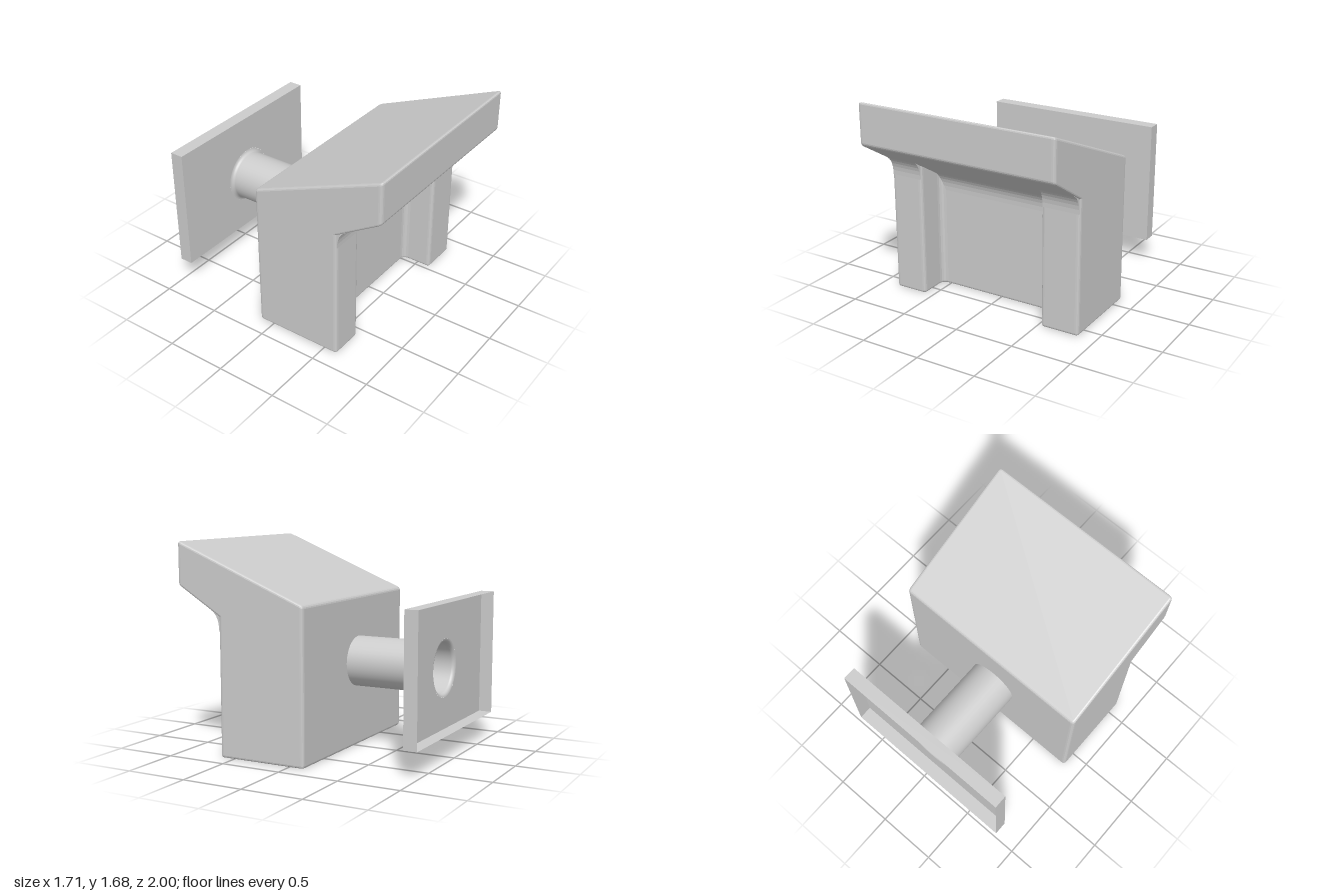
import * as THREE from 'three';

const BEVEL = 0.02;
// Heights of the sloped roof and of the sloped underside at depth z
const roofY = z => 1.69 + (z - 1) * 0.406;
const underY = z => 1.345 + (z - 1) * 0.605;

// Plan outline from [x, z, cornerRadius] points, with rounded corners
function roundedPlan(corners) {
  const pts = corners.map(([x, z]) => new THREE.Vector2(x, -z));
  const n = pts.length;
  const shape = new THREE.Shape();
  pts.forEach((p, i) => {
    const r = corners[i][2];
    const toward = q => q.clone().sub(p).setLength(r).add(p);
    const a = toward(pts[(i + n - 1) % n]);
    const b = toward(pts[(i + 1) % n]);
    if (i === 0) shape.moveTo(a.x, a.y);
    else shape.lineTo(a.x, a.y);
    shape.quadraticCurveTo(p.x, p.y, b.x, b.y);
  });
  shape.closePath();
  return shape;
}

// Bevelled upright block whose bottom and top follow height functions of z
function slopedBlock(shape, bottom, top) {
  const g = new THREE.ExtrudeGeometry(shape, {
    depth: 1 - 2 * BEVEL, bevelThickness: BEVEL, bevelSize: BEVEL,
    bevelOffset: -BEVEL, bevelSegments: 3, curveSegments: 4,
  });
  g.rotateX(-Math.PI / 2).translate(0, BEVEL, 0);
  const p = g.attributes.position;
  for (let i = 0; i < p.count; i++) {
    const y = p.getY(i), z = p.getZ(i);
    p.setY(i, y < 0.5 ? bottom(z) + y : top(z) - (1 - y));
  }
  g.computeVertexNormals();
  return g;
}

// Concave fillet between an upright wall at z0 and the sloped underside
function underFillet(x0, x1, z0) {
  const s = new THREE.Shape();
  s.moveTo(z0 - 0.01, underY(z0) - 0.12);
  s.lineTo(z0, underY(z0) - 0.12);
  s.quadraticCurveTo(z0, underY(z0), z0 + 0.07, underY(z0 + 0.07));
  s.lineTo(z0 + 0.07, underY(z0 + 0.07) + 0.01);
  s.lineTo(z0 - 0.01, underY(z0) + 0.01);
  s.closePath();
  const g = new THREE.ExtrudeGeometry(s, { depth: x1 - x0, bevelEnabled: false, curveSegments: 6 });
  return g.rotateY(-Math.PI / 2).translate(x1, 0, 0);
}

export function createModel() {
  const model = new THREE.Group();
  const solid = new THREE.MeshStandardMaterial({ color: 0xcccccc });
  const thin = new THREE.MeshStandardMaterial({ color: 0xcccccc, side: THREE.DoubleSide });
  const add = (name, geometry, material = solid, parent = model) => {
    const m = new THREE.Mesh(geometry, material);
    m.name = name;
    parent.add(m);
    return m;
  };

  const W = 0.855, BACK = -0.13, FRONT = 0.62, RECESS = 0.36;
  const inL = 0.53, inR = -0.57, r = 0.03;

  // Lower body: U-shaped plan with a recess between two front legs
  const lower = roundedPlan([
    [-W, FRONT, r], [inR, FRONT, r], [inR, RECESS, 0.05], [inL, RECESS, 0.05],
    [inL, FRONT, r], [W, FRONT, r], [W, BACK, r], [-W, BACK, r],
  ]);
  add('lowerBody', slopedBlock(lower, () => 0, z => underY(z) + 0.05));

  // Overhanging head with sloped roof and underside
  const head = roundedPlan([[-W, 1, r], [W, 1, r], [W, BACK, r], [-W, BACK, r]]);
  add('overhangingHead', slopedBlock(head, underY, roofY));

  // Fillets where the legs and the recess meet the overhang
  add('rightLegFillet', underFillet(-W + 0.01, inR - 0.01, FRONT));
  add('leftLegFillet', underFillet(inL + 0.01, W - 0.01, FRONT));
  add('recessFillet', underFillet(inR, inL, RECESS));

  // Hollow arm, flared where it meets the wall plate
  const cx = -0.045, cy = 0.7, R = 0.205, PLATE = -0.89;
  const profile = [new THREE.Vector2(R, 0), new THREE.Vector2(R, 0.73)];
  for (let i = 1; i <= 5; i++) {
    const a = (i / 5) * Math.PI / 2;
    profile.push(new THREE.Vector2(R + 0.03 * (1 - Math.cos(a)), 0.73 + 0.03 * Math.sin(a)));
  }
  const arm = add('arm', new THREE.LatheGeometry(profile, 40), thin);
  arm.rotation.x = -Math.PI / 2;
  arm.position.set(cx, cy, BACK);

  // Wall plate: thin tray open at the back, with a round opening for the arm
  const plate = new THREE.Group();
  plate.name = 'wallPlate';
  model.add(plate);
  const x0 = -0.825, x1 = 0.72, y0 = 0.21, y1 = 1.24;
  const face = new THREE.Shape();
  face.moveTo(x0, y0);
  face.lineTo(x1, y0);
  face.lineTo(x1, y1);
  face.lineTo(x0, y1);
  face.closePath();
  const hole = new THREE.Path();
  hole.absarc(cx, cy, R + 0.03, 0, Math.PI * 2, true);
  face.holes.push(hole);
  add('plateFace', new THREE.ShapeGeometry(face, 40).translate(0, 0, PLATE), thin, plate);

  const rim = new THREE.CylinderGeometry(Math.SQRT1_2, Math.SQRT1_2, 0.11, 4, 1, true).toNonIndexed();
  rim.rotateY(Math.PI / 4).rotateX(Math.PI / 2).scale(x1 - x0, y1 - y0, 1);
  rim.translate((x0 + x1) / 2, (y0 + y1) / 2, PLATE - 0.055);
  rim.computeVertexNormals();
  add('plateRim', rim, thin, plate);

  return model;
}
